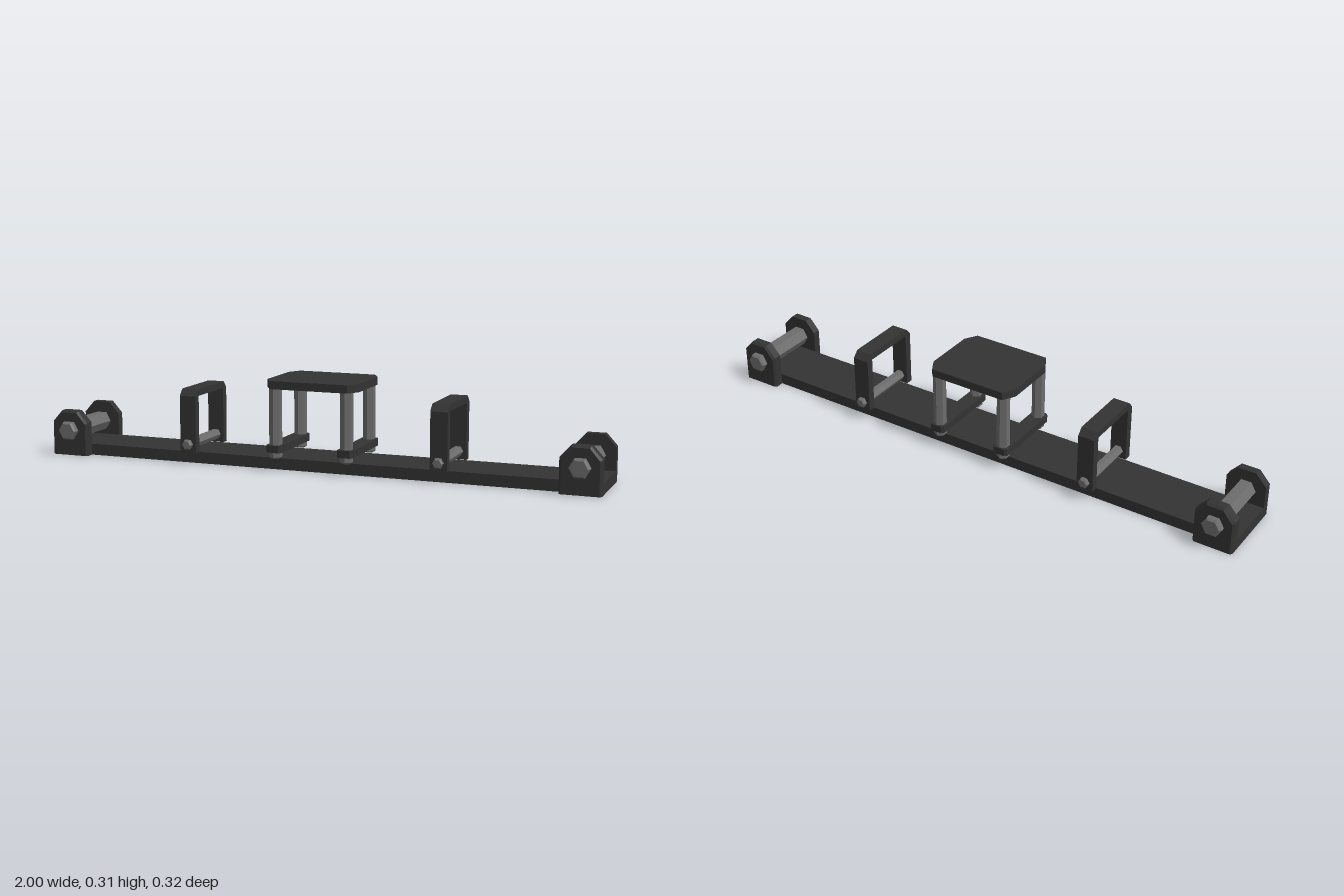
import * as THREE from 'three';

const dark = new THREE.MeshStandardMaterial({ color: 0x333333 });
dark.name = 'dark painted steel';
const steel = new THREE.MeshStandardMaterial({ color: 0x6c6c6c });
steel.name = 'bare steel';

// Shape from [x, y] corners
const shapeOf = pts => new THREE.Shape(pts.map(p => new THREE.Vector2(...p)));

const extrude = (pts, depth, steps = 1) =>
  new THREE.ExtrudeGeometry(shapeOf(pts), { depth, steps, bevelEnabled: false });

// Rectangle with cut corners
const cutRect = (w, d, cx, cy) => [
  [-w, -d + cy], [-w + cx, -d], [w - cx, -d], [w, -d + cy],
  [w, d - cy], [w - cx, d], [-w + cx, d], [-w, d - cy],
];

// Hexagonal rod along y with chamfered ends, corners pointing to +-z
function hexRod(r, length, bevel) {
  const h = length / 2;
  const profile = [[0, -h], [r - bevel, -h], [r, -h + bevel], [r, h - bevel], [r - bevel, h], [0, h]];
  const geo = new THREE.LatheGeometry(profile.map(p => new THREE.Vector2(...p)), 6).toNonIndexed();
  geo.computeVertexNormals();
  return geo;
}

// The same rod laid across the beam, with flats on top and bottom
const crossRod = (r, length, bevel) => hexRod(r, length, bevel).rotateY(Math.PI / 2).rotateX(Math.PI / 2);

// End cheek: side plate with cut top corners and a chamfered outer face
function cheekGeometry() {
  const t = 0.035;
  const geo = extrude([
    [-0.07, 0], [0.07, 0], [0.07, 0.12], [0.032, 0.162], [-0.032, 0.162], [-0.07, 0.12],
  ], t, 5);
  const p = geo.attributes.position;
  for (let i = 0; i < p.count; i++) {
    if (p.getZ(i) > t - 0.001) p.setXYZ(i, p.getX(i) * 0.9, p.getY(i) * 0.955, t);
  }
  geo.computeVertexNormals();
  return geo.translate(0, 0, 0.1);
}

export function createModel() {
  const model = new THREE.Group();
  model.name = 'mountingBeam';

  const add = (parent, name, geo, mat, x = 0, y = 0, z = 0) => {
    const mesh = new THREE.Mesh(geo, mat);
    mesh.name = name;
    mesh.position.set(x, y, z);
    parent.add(mesh);
    return mesh;
  };
  const group = (name, x) => {
    const g = new THREE.Group();
    g.name = name;
    g.position.x = x;
    model.add(g);
    return g;
  };

  // Long flat beam
  add(model, 'beam', new THREE.BoxGeometry(1.72, 0.04, 0.2), dark, 0, 0.02, 0);

  // Shared geometries
  const cheek = cheekGeometry();
  const endPin = crossRod(0.036, 0.316, 0.007);
  const strap = extrude([
    [-0.127, 0.041], [-0.1, 0.041], [-0.1, 0.24], [0.1, 0.24], [0.1, 0.041], [0.127, 0.041],
    [0.127, 0.241], [0.106, 0.264], [-0.106, 0.264], [-0.127, 0.241],
  ], 0.06).translate(0, 0, -0.03).rotateY(Math.PI / 2);
  const strapPin = crossRod(0.019, 0.286, 0.005);
  const post = hexRod(0.0225, 0.248, 0.005);
  const clamp = extrude(cutRect(0.028, 0.138, 0.009, 0.009), 0.026).rotateX(-Math.PI / 2);

  for (const side of [1, -1]) {
    const label = side > 0 ? 'left' : 'right';

    // End bracket: base, two cheeks and a cross pin
    const end = group(label + 'EndBracket', side * 0.93);
    add(end, 'bracketBase', new THREE.BoxGeometry(0.14, 0.04, 0.2), dark, 0, 0.02, 0);
    add(end, 'frontCheek', cheek, dark);
    add(end, 'backCheek', cheek, dark).rotation.y = Math.PI;
    add(end, 'endPin', endPin, steel, 0, 0.091, 0);

    // Strap loop over the beam with its own pin
    const loop = group(label + 'StrapLoop', side * 0.458);
    add(loop, 'strap', strap, dark);
    add(loop, 'strapPin', strapPin, steel, 0, 0.07, 0);

    // Pair of posts tied together by a clamp bar
    const stand = group(label + 'PostPair', side * 0.13);
    add(stand, 'clampBar', clamp, dark, 0, 0.064, 0);
    for (const z of [0.1125, -0.1125]) add(stand, z > 0 ? 'frontPost' : 'backPost', post, steel, 0, 0.166, z);
  }

  // Raised platform
  const platform = extrude(cutRect(0.167, 0.139, 0.026, 0.045), 0.028).rotateX(-Math.PI / 2);
  add(model, 'platform', platform, dark, 0, 0.285, 0);

  return model;
}
